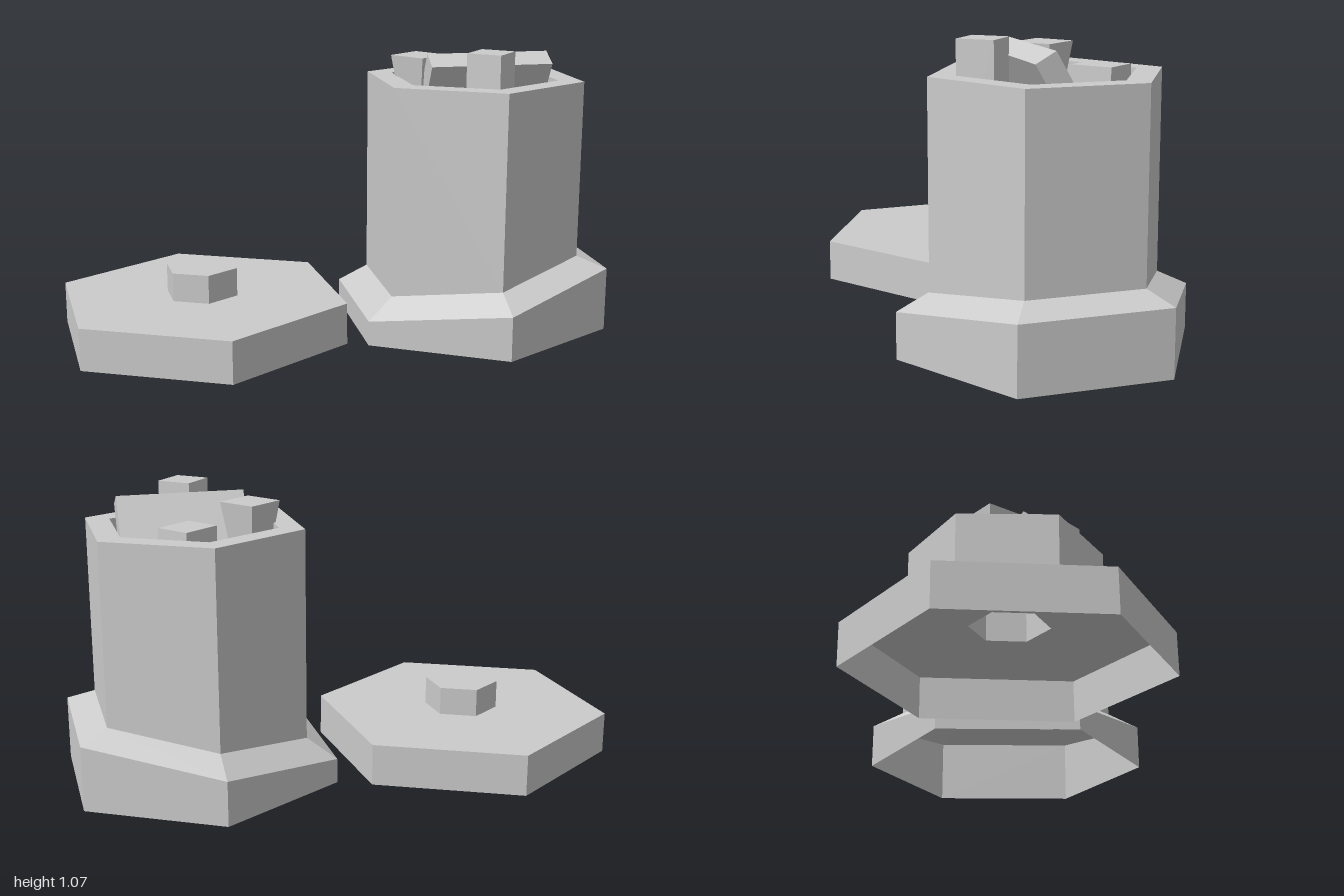
import * as THREE from 'three';

const mat = new THREE.MeshStandardMaterial({
  color: 0xcccccc, flatShading: true, side: THREE.DoubleSide,
});

function add(parent, name, geometry, x, y, z) {
  const mesh = new THREE.Mesh(geometry, mat);
  mesh.name = name;
  mesh.position.set(x, y, z);
  parent.add(mesh);
  return mesh;
}

// Six-sided turned shell from [radius, height] pairs, with corners on the z axis
const hexShell = (profile) =>
  new THREE.LatheGeometry(profile.map(([r, y]) => new THREE.Vector2(r, y)), 6);

export function createModel() {
  const model = new THREE.Group();
  model.name = 'openHexContainer';

  // Container: hollow skirt, tall wall, thick rim and inner well
  const floorY = 0.64;
  const potGeo = hexShell([
    [0.53, 0.008], [0.53, 0.173], [0.415, 0.229], [0.415, 0.95],
    [0.32, 0.95], [0.32, floorY], [0, floorY],
  ]);
  // Slant the top of the skirt up towards +x
  const p = potGeo.attributes.position;
  for (let i = 0; i < p.count; i++) {
    const y = p.getY(i);
    if (y > 0.1 && y < 0.3) p.setY(i, y + 0.16 * p.getX(i));
  }
  const pot = new THREE.Group();
  pot.name = 'container';
  pot.position.x = 0.54;
  model.add(pot);
  add(pot, 'containerShell', potGeo, 0, 0, 0);

  // Leaning slab inside the well
  const contents = new THREE.Group();
  contents.name = 'contents';
  model.add(contents);
  add(contents, 'leaningSlab', new THREE.BoxGeometry(0.46, 0.42, 0.08), 0.57, 0.847, 0)
    .rotation.x = 0.52;

  // Upright blocks: name, x, z, top, width, depth, turn
  const blocks = [
    ['frontBlock', 0.534, 0.225, 1.07, 0.13, 0.133, -0.715],
    ['backBlock', 0.588, -0.17, 0.975, 0.152, 0.133, 0.65],
  ];
  for (const [name, x, z, top, w, d, turn] of blocks) {
    const h = top - floorY;
    add(contents, name, new THREE.BoxGeometry(w, h, d), x, floorY + h / 2, z).rotation.y = turn;
  }

  // Block that narrows downwards
  const h = 1.03 - floorY;
  add(contents, 'taperedBlock', new THREE.CylinderGeometry(0.106, 0.03, h, 4),
    0.343, floorY + h / 2, -0.055).rotation.y = 0.64 + Math.PI / 4;

  // Lid lying beside the container, hollow underneath, with a hollow knob
  const lid = add(model, 'lid', hexShell([
    [0.559, 0], [0.559, 0.155], [0.138, 0.155], [0.138, 0.261], [0, 0.261],
  ]), -0.4975, 0.007, -0.0025);
  lid.rotation.set(-0.0075, 0.076, 0.004);

  return model;
}
